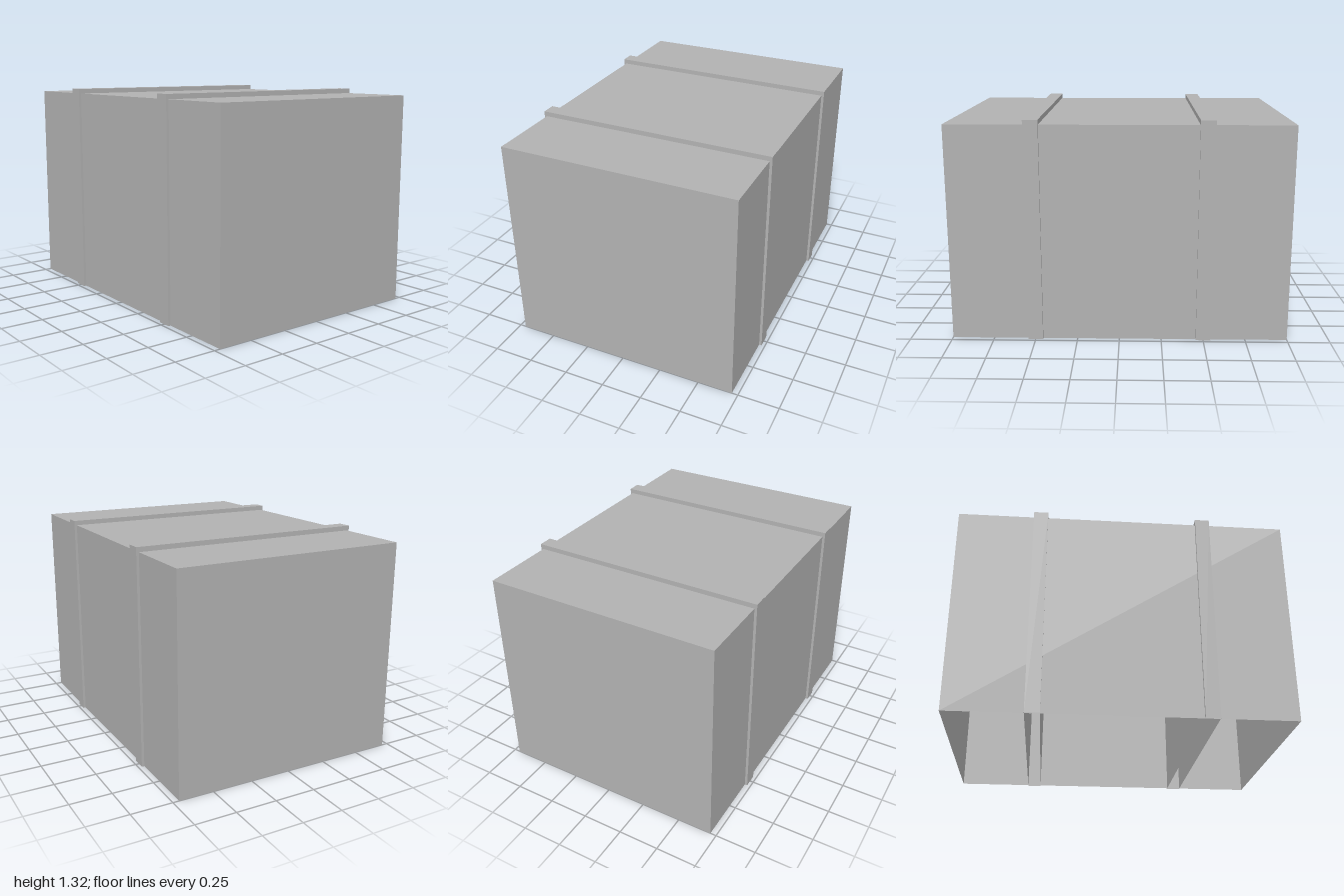
import * as THREE from 'three';

const grey = new THREE.MeshStandardMaterial({ color: 0xb2b2b2, side: THREE.DoubleSide });
grey.name = 'plain grey';

// Box standing on y = 0 with its bottom face left out
function openBox(name, width, height, depth, x) {
  const geometry = new THREE.BoxGeometry(width, height, depth);
  const index = Array.from(geometry.index.array);
  index.splice(18, 6); // the bottom face is the fourth of six
  geometry.setIndex(index);
  geometry.clearGroups();
  const mesh = new THREE.Mesh(geometry, grey);
  mesh.name = name;
  mesh.position.set(x, height / 2, 0);
  return mesh;
}

export function createModel() {
  const model = new THREE.Group();
  model.name = 'strappedCrate';

  // Crate body
  model.add(openBox('crateBody', 2, 1.288, 1.426, 0));

  // Two straps, each a thin slab running right through the body
  for (const side of [-1, 1]) {
    model.add(openBox(side > 0 ? 'leftStrap' : 'rightStrap', 0.087, 1.317, 1.458, side * 0.5));
  }
  return model;
}
